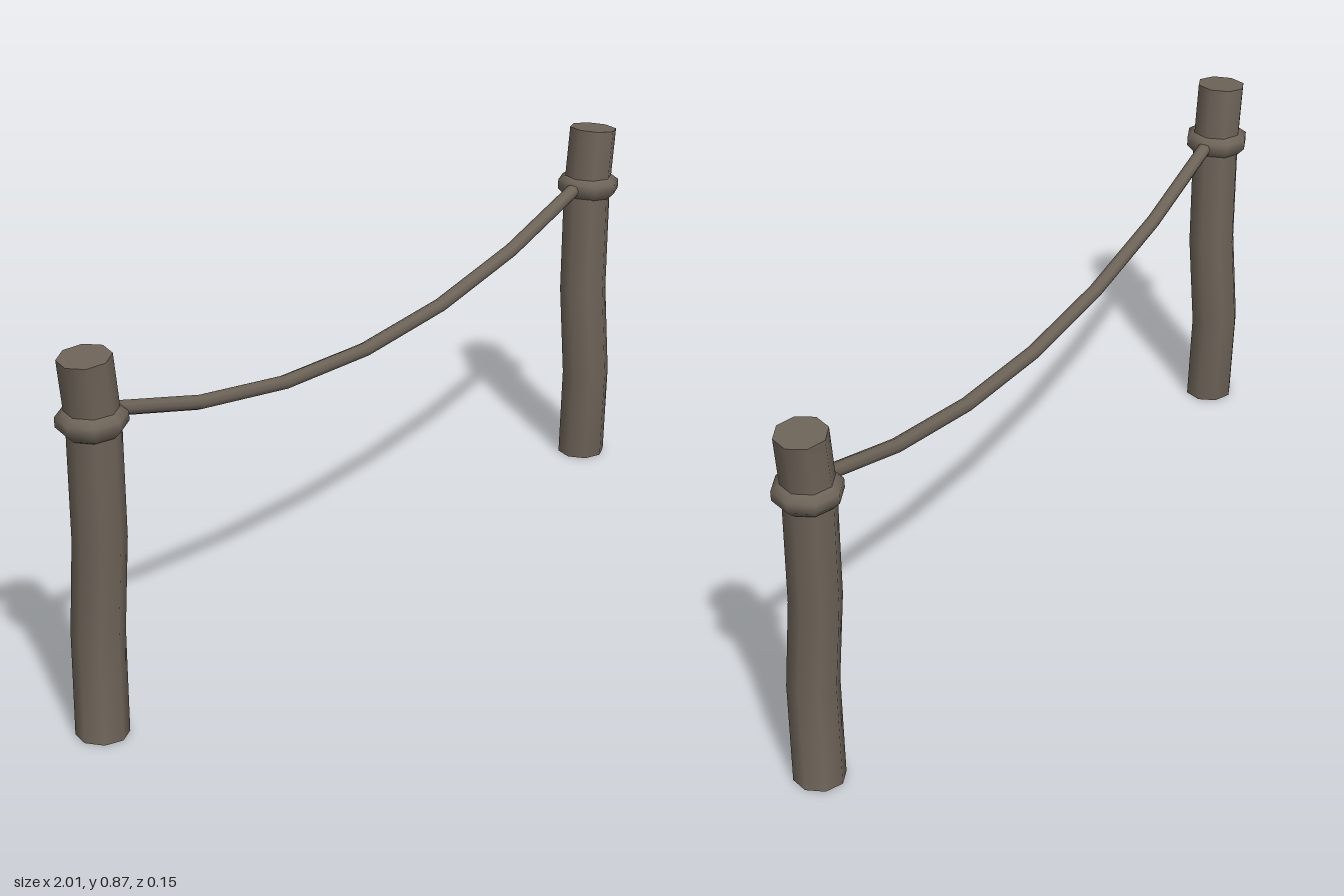
import * as THREE from 'three';
import { mergeVertices } from 'three/addons/utils/BufferGeometryUtils.js';

const wood = new THREE.MeshStandardMaterial({ color: 0x6e6459 });
wood.name = 'weathered wood';

// Cross-sections of a crooked post, from the ground up: x, y, z, tilt
const SECTIONS = [
  [0.93, 0, 0, 0],
  [0.913, 0.23, 0.0175, 0],
  [0.917, 0.45, 0, 0],
  [0.922, 0.71, 0, 0.04],
  [0.943, 0.862, 0, 0.12],
];

// Bend an eight-sided cylinder along the sections
function postGeometry(radius) {
  const rows = SECTIONS.length - 1;
  let geo = new THREE.CylinderGeometry(radius, radius, 1, 8, rows);
  geo.deleteAttribute('uv');
  geo = mergeVertices(geo);
  const pos = geo.attributes.position;
  for (let i = 0; i < pos.count; i++) {
    const [cx, cy, cz, tilt] = SECTIONS[Math.round((pos.getY(i) + 0.5) * rows)];
    const x = pos.getX(i);
    pos.setXYZ(i, cx + x * Math.cos(tilt), cy - x * Math.sin(tilt), cz + pos.getZ(i));
  }
  geo.computeVertexNormals();
  return geo;
}

// Bulging band where the rope is wrapped round the post
function bandGeometry() {
  const profile = [
    [0.052, -0.03], [0.06, -0.025], [0.076, -0.008],
    [0.076, 0.014], [0.06, 0.025], [0.052, 0.029],
  ].map(([r, y]) => new THREE.Vector2(r, y));
  return new THREE.LatheGeometry(profile, 8);
}

export function createModel() {
  const model = new THREE.Group();
  model.name = 'ropeBarrier';
  const postGeo = postGeometry(0.058);
  const bandGeo = bandGeometry();

  // The second post is the first turned half way round
  for (const [name, turn] of [['left', 0], ['right', Math.PI]]) {
    const side = new THREE.Group();
    side.name = name + 'Post';
    const post = new THREE.Mesh(postGeo, wood);
    post.name = name + 'PostShaft';
    const band = new THREE.Mesh(bandGeo, wood);
    band.name = name + 'RopeBand';
    band.position.set(0.927, 0.718, 0);
    band.rotation.z = -0.06;
    side.add(post, band);
    side.rotation.y = turn;
    model.add(side);
  }

  // Sagging rope between the bands
  const sag = new THREE.QuadraticBezierCurve3(
    new THREE.Vector3(-0.875, 0.726, 0),
    new THREE.Vector3(0, 0.424, 0),
    new THREE.Vector3(0.875, 0.726, 0),
  );
  const rope = new THREE.Mesh(new THREE.TubeGeometry(sag, 6, 0.0165, 8), wood);
  rope.name = 'rope';
  model.add(rope);
  return model;
}
